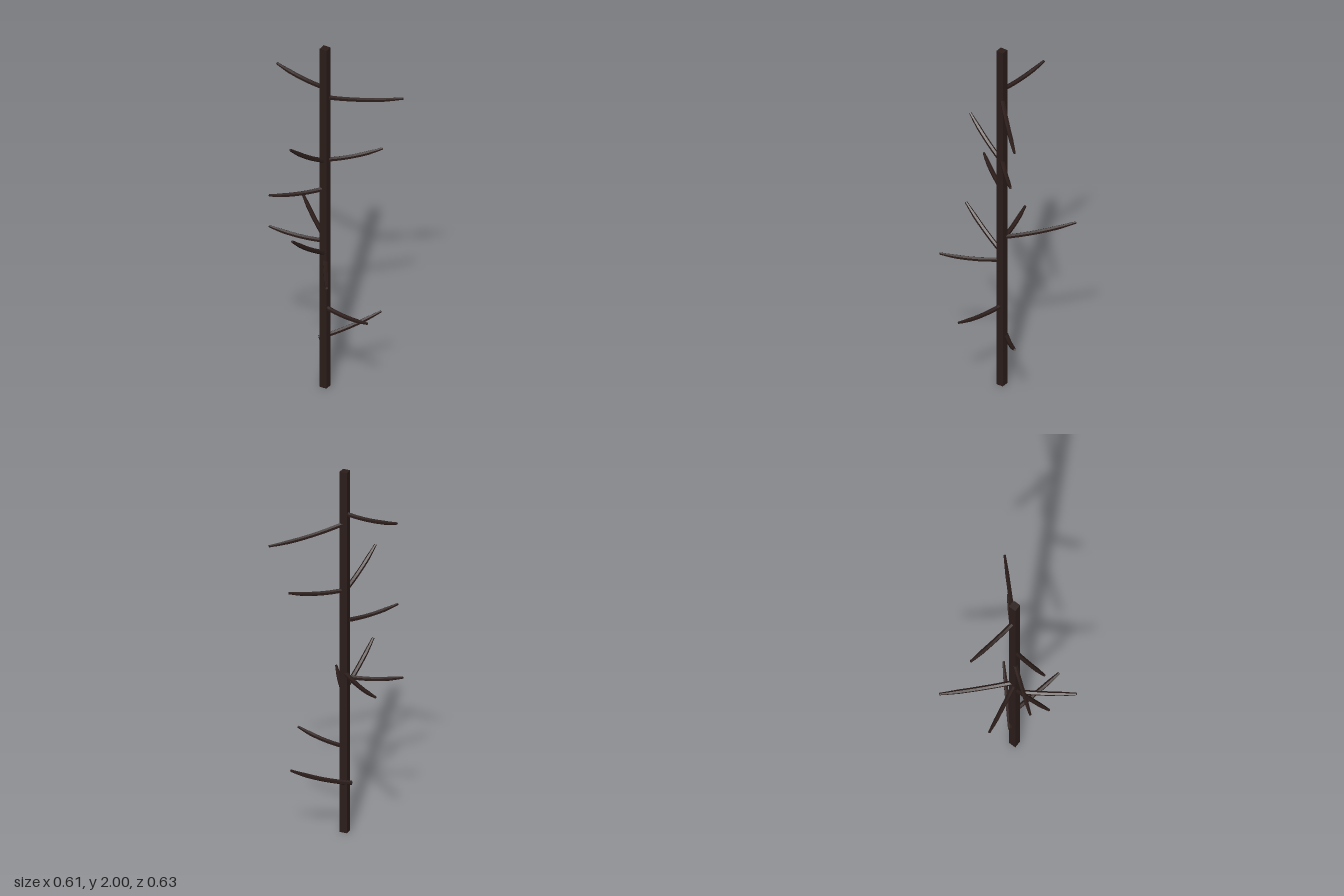
import * as THREE from 'three';

const bark = new THREE.MeshStandardMaterial({ color: 0x2b1d1a, flatShading: true });
const AXIS = { x: -0.032, z: 0.021 };
const UP = new THREE.Vector3(0, 1, 0);

// Branch radius along its length: nearly even, then narrowing at the tip
function radiusAt(t) {
  return t < 0.75 ? 0.0125 - 0.0015 * t : THREE.MathUtils.mapLinear(t, 0.75, 1, 0.0114, 0.0065);
}

// Bends a six-sided capped cylinder along a gently sagging curve
function makeBranch(root, tip) {
  const middle = root.clone().lerp(tip, 0.5);
  middle.y -= 0.025;
  const curve = new THREE.QuadraticBezierCurve3(root, middle, tip);
  const side = tip.clone().sub(root).setY(0).normalize().cross(UP);
  const geometry = new THREE.CylinderGeometry(1, 1, 1, 6, 8);
  const position = geometry.attributes.position;
  for (let i = 0; i < position.count; i++) {
    const t = THREE.MathUtils.clamp(position.getY(i) + 0.5, 0, 1);
    const r = radiusAt(t);
    const normal = side.clone().cross(curve.getTangent(t));
    const p = curve.getPoint(t)
      .addScaledVector(side, position.getX(i) * r)
      .addScaledVector(normal, position.getZ(i) * r);
    position.setXYZ(i, p.x, p.y, p.z);
  }
  geometry.computeVertexNormals();
  return new THREE.Mesh(geometry, bark);
}

export function createModel() {
  const model = new THREE.Group();
  model.name = 'bareTree';

  // Square trunk, turned slightly about its axis
  const trunk = new THREE.Mesh(new THREE.BoxGeometry(0.04, 2, 0.04), bark);
  trunk.name = 'trunk';
  trunk.position.set(AXIS.x, 1, AXIS.z);
  trunk.rotation.y = 0.2;
  model.add(trunk);

  // Branches: root height, tip x, y, z, and optional root x, z
  const branches = [
    [0.275, 0.222, 0.39, 0.17, -0.04, -0.015],
    [0.47, -0.036, 0.495, 0.315],
    [0.745, -0.255, 0.773, 0.24],
    [0.79, -0.285, 0.975, 0.031],
    [0.86, -0.152, 0.885, -0.253],
    [0.88, 0.16, 0.91, -0.312],
    [1.17, -0.303, 1.196, -0.11],
    [1.335, -0.275, 1.503, 0.009],
    [1.34, 0.212, 1.367, 0.19],
    [1.71, 0.302, 1.645, 0.247],
    [1.765, -0.053, 1.788, -0.29],
  ];
  branches.forEach(([y, tx, ty, tz, rx = AXIS.x, rz = AXIS.z], i) => {
    const branch = makeBranch(new THREE.Vector3(rx, y, rz), new THREE.Vector3(tx, ty, tz));
    branch.name = `branch${i + 1}`;
    model.add(branch);
  });

  return model;
}
